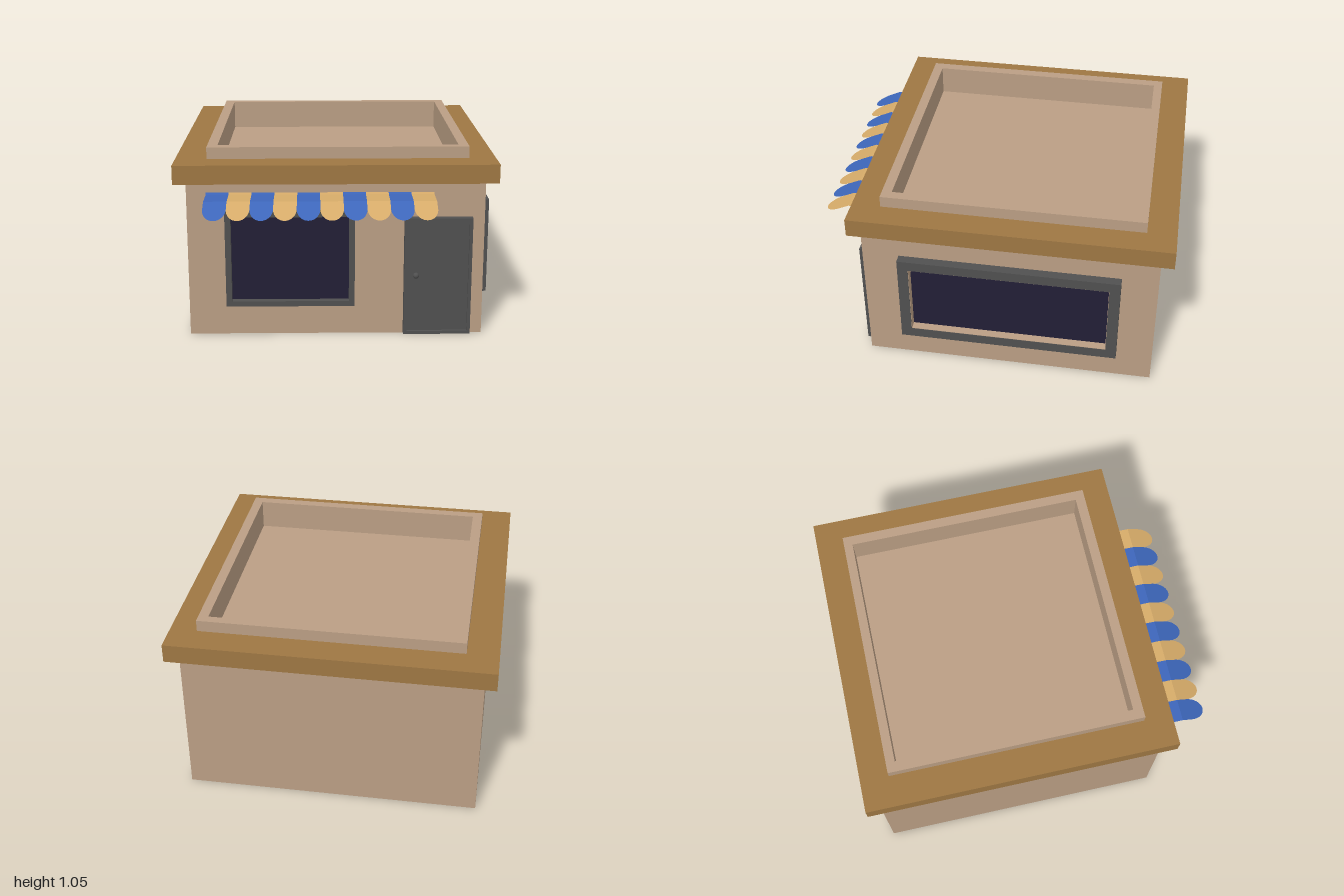
import * as THREE from 'three';

const mat = (color, extra = {}) => new THREE.MeshStandardMaterial({ color, ...extra });
const wall = mat(0xba9e84);
const trim = mat(0x9e7743);
const grey = mat(0x505050);
const glass = mat(0x221f36);
const stripeMats = [0x3d66ba, 0xd6ab69].map(c => mat(c, { side: THREE.DoubleSide, flatShading: true }));

function add(parent, name, geometry, material) {
  const mesh = new THREE.Mesh(geometry, material);
  mesh.name = name;
  parent.add(mesh);
  return mesh;
}

// Box given by its limits on each axis
function block(x0, x1, y0, y1, z0, z1) {
  return new THREE.BoxGeometry(x1 - x0, y1 - y0, z1 - z0)
    .translate((x0 + x1) / 2, (y0 + y1) / 2, (z0 + z1) / 2);
}

const rectPoints = ([a0, a1, b0, b1]) =>
  [[a0, b0], [a1, b0], [a1, b1], [a0, b1]].map(p => new THREE.Vector2(...p));

// Rectangular ring in the xy plane, extruded along +z
function ring(outer, inner, depth) {
  const shape = new THREE.Shape(rectPoints(outer));
  shape.holes.push(new THREE.Path(rectPoints(inner).reverse()));
  return new THREE.ExtrudeGeometry(shape, { depth, bevelEnabled: false });
}

// Ring lying flat; limits are x0, x1, -z front, -z back
const flatRing = (outer, inner, y0, y1) =>
  ring(outer, inner, y1 - y0).rotateX(-Math.PI / 2).translate(0, y0, 0);

// One awning stripe: lip at the wall, flat top, sloping scalloped flap
function awningStripe(x0, width) {
  const geometry = new THREE.PlaneGeometry(1, 1, 20, 3);
  const pos = geometry.attributes.position;
  for (let i = 0; i < pos.count; i++) {
    const u = Math.sin(pos.getX(i) * Math.PI);
    const row = Math.floor(i / 21);
    const end = 0.915 + 0.085 * Math.sqrt(Math.max(0, 1 - u * u));
    const z = [0.705, 0.712, 0.855, end][row];
    const y = [0.82, 0.81, 0.81, 0.81 - (end - 0.855) * 0.45][row];
    pos.setXYZ(i, x0 + (u + 1) / 2 * width, y, z);
  }
  geometry.computeVertexNormals();
  return geometry;
}

export function createModel() {
  const shop = new THREE.Group();
  shop.name = 'shop';

  // Walls and roof
  add(shop, 'walls', block(-0.82, 0.815, 0, 0.88, -0.93, 0.705), wall);
  const parapetOuter = [-0.712, 0.732, -0.605, 0.84];
  add(shop, 'cornice', flatRing([-0.885, 0.88, -0.765, 1], parapetOuter, 0.88, 0.985), trim);
  add(shop, 'parapet', flatRing(parapetOuter, [-0.655, 0.677, -0.55, 0.79], 0.88, 1.05), wall);

  // Front window
  const frontWindow = new THREE.Group();
  frontWindow.name = 'frontWindow';
  shop.add(frontWindow);
  add(frontWindow, 'frontWindowFrame',
    ring([-0.612, 0.1, 0.175, 0.72], [-0.58, 0.068, 0.205, 0.69], 0.04).translate(0, 0, 0.705), grey);
  add(frontWindow, 'frontWindowSide', block(0.1, 0.102, 0.175, 0.72, 0.705, 0.744), wall);
  add(frontWindow, 'frontWindowGlass', block(-0.58, 0.068, 0.205, 0.69, 0.7, 0.708), glass);

  // Side window, with a wall-coloured lining inside the frame
  const sideWindow = new THREE.Group();
  sideWindow.name = 'sideWindow';
  sideWindow.rotation.y = Math.PI / 2;
  sideWindow.position.x = 0.815;
  shop.add(sideWindow);
  const opening = [-0.44, 0.67, 0.23, 0.662];
  add(sideWindow, 'sideWindowFrame', ring([-0.5, 0.73, 0.172, 0.72], opening, 0.052), grey);
  add(sideWindow, 'sideWindowLining', ring(opening, [-0.438, 0.668, 0.232, 0.66], 0.05), wall);
  add(sideWindow, 'sideWindowGlass', block(-0.44, 0.67, 0.23, 0.662, -0.005, 0.003), glass);

  // Door
  const door = new THREE.Group();
  door.name = 'door';
  shop.add(door);
  add(door, 'doorFrame',
    ring([0.373, 0.747, 0.006, 0.68], [0.391, 0.729, 0.024, 0.662], 0.04).translate(0, 0, 0.705), grey);
  add(door, 'doorPanel', block(0.391, 0.729, 0.024, 0.662, 0.7, 0.73), grey);
  add(door, 'doorKnob', new THREE.SphereGeometry(0.017, 20, 14), grey).position.set(0.44, 0.347, 0.732);

  // Striped awning
  const awning = new THREE.Group();
  awning.name = 'awning';
  shop.add(awning);
  const width = 0.1245;
  for (let i = 0; i < 10; i++) {
    add(awning, 'awningStripe', awningStripe(-0.712 + i * width, width), stripeMats[i % 2]);
  }

  return shop;
}
